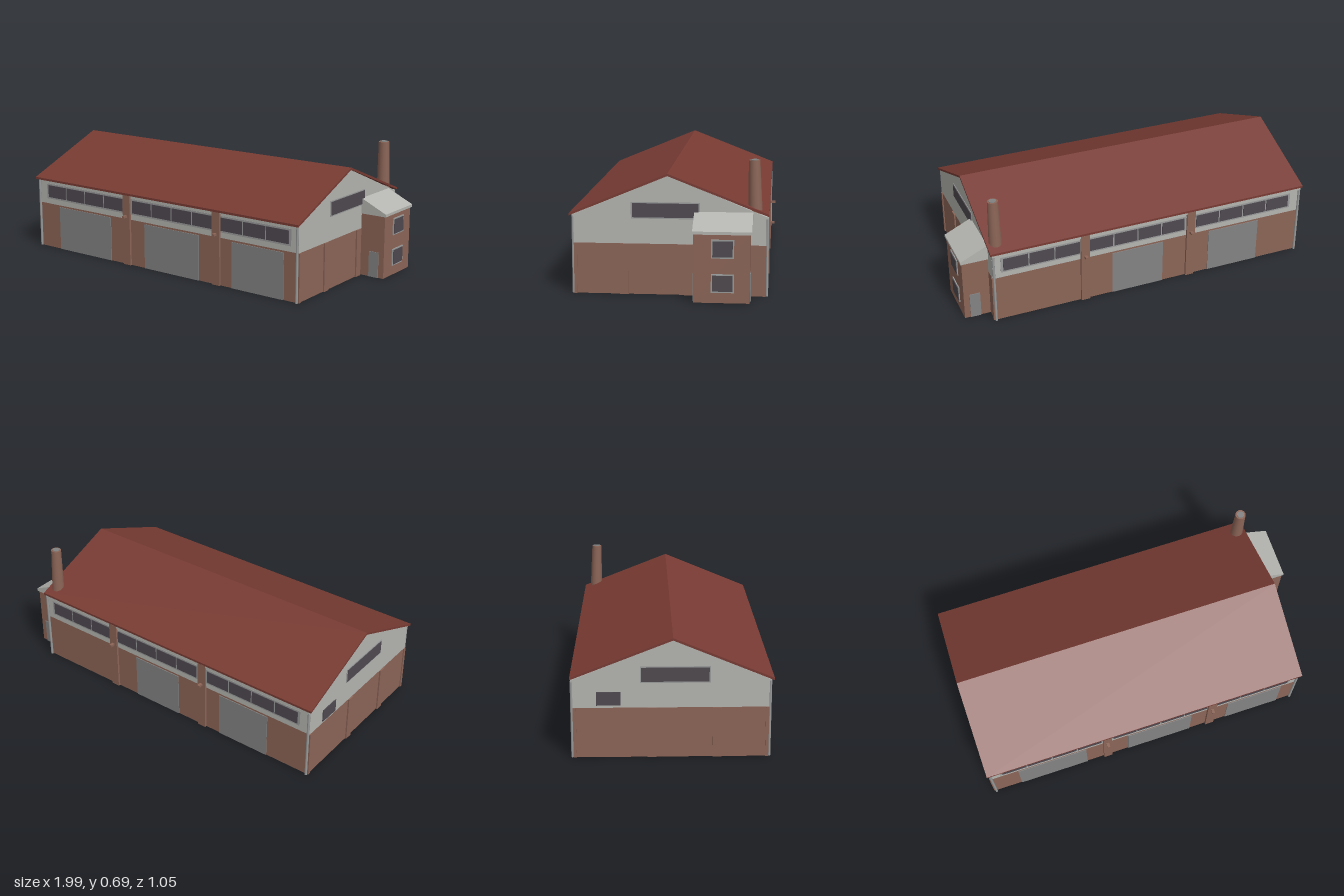
import * as THREE from 'three';

const paint = (name, color) => {
  const m = new THREE.MeshStandardMaterial({ color });
  m.name = name;
  return m;
};

export function createModel() {
  const model = new THREE.Group();
  model.name = 'warehouse';
  const brick = paint('brick', 0x8c6557);
  const cladding = paint('pale cladding', 0xb4b4b0);
  const roofRed = paint('roof red', 0x783b33);
  const doorGrey = paint('door grey', 0x838383);
  const glass = paint('dark glass', 0x4e494f);
  const trim = paint('trim grey', 0x9a9b9b);

  const add = (name, geometry, material) => {
    const mesh = new THREE.Mesh(geometry, material);
    mesh.name = name;
    model.add(mesh);
    return mesh;
  };
  // Box given by its limits on each axis
  const block = (name, material, x0, x1, y0, y1, z0, z1) => {
    const mesh = add(name, new THREE.BoxGeometry(x1 - x0, y1 - y0, z1 - z0), material);
    mesh.position.set((x0 + x1) / 2, (y0 + y1) / 2, (z0 + z1) / 2);
    return mesh;
  };
  // Profile of [z, y] points drawn out along x
  const alongX = (name, material, points, x0, x1) => {
    const shape = new THREE.Shape(points.map(([z, y]) => new THREE.Vector2(z, y)));
    const mesh = add(name, new THREE.ExtrudeGeometry(shape, { depth: x1 - x0, bevelEnabled: false }), material);
    mesh.rotation.y = -Math.PI / 2;
    mesh.position.x = x1;
    return mesh;
  };

  // Main hall
  const W = 0.487, L = -0.98, R = 0.845;
  block('brickWalls', brick, L, R, 0, 0.262, -W, W);
  alongX('upperWalls', cladding,
    [[W, 0.262], [W, 0.408], [0.01, 0.611], [-W, 0.408], [-W, 0.262]], L, R);
  alongX('roof', roofRed,
    [[0.51, 0.415], [0.01, 0.622], [-0.50, 0.422], [-0.50, 0.41], [0.01, 0.61], [0.51, 0.403]], -0.99, 0.855);

  // Long sides: ribbon windows, pilasters, brackets, eaves trim, downpipes
  const bays = [[-0.91, -0.325, 4], [-0.26, 0.305, 4], [0.355, 0.79, 3]];
  for (const s of [1, -1]) {
    const plate = (name, material, x0, x1, y0, y1, out) => {
      const a = s * (W - 0.002), b = s * (W + out);
      block(name, material, x0, x1, y0, y1, Math.min(a, b), Math.max(a, b));
    };
    for (const [x0, x1, n] of bays) {
      plate('windowFrame', trim, x0 - 0.01, x1 + 0.01, 0.292, 0.382, 0.002);
      const step = (x1 - x0) / n;
      for (let i = 0; i < n; i++)
        plate('windowPane', glass, x0 + i * step + 0.004, x0 + (i + 1) * step - 0.004, 0.302, 0.373, 0.005);
    }
    for (const x of [-0.295, 0.33]) {
      plate('pilaster', brick, x - 0.025, x + 0.025, 0, 0.408, 0.012);
      plate('pilasterBracket', brick, x - 0.008, x + 0.008, 0.274, 0.286, 0.037);
    }
    plate('eavesTrim', cladding, L, R, 0.396, 0.408, 0.01);
    for (const x of [L + 0.006, R - 0.006]) {
      const pipe = add('downpipe', new THREE.CylinderGeometry(0.007, 0.007, 0.4, 8), trim);
      pipe.position.set(x, 0.2, s * (W + 0.005));
    }
    const doors = s > 0 ? [[-0.82, -0.42], [-0.17, 0.21], [0.43, 0.755]] : [[-0.72, -0.41], [-0.13, 0.17]];
    for (const [x0, x1] of doors) plate('loadingDoor', doorGrey, x0, x1, 0, 0.252, 0.004);
  }

  // Gable ends: long window and shallow brick pilasters
  for (const [x, s] of [[R, 1], [L, -1]]) {
    const plate = (name, material, z0, z1, y0, y1, out) =>
      block(name, material, Math.min(x, x + s * out), Math.max(x, x + s * out), y0, y1, z0, z1);
    plate('gableWindowFrame', trim, -0.153, 0.195, 0.391, 0.476, 0.003);
    plate('gableWindow', glass, -0.147, 0.189, 0.398, 0.47, 0.006);
    for (const z of [0.23, -0.095]) plate('gablePilaster', brick, z - 0.022, z + 0.022, 0, 0.262, 0.008);
    for (const z of [W - 0.008, -W + 0.008]) plate('cornerPost', brick, z - 0.008, z + 0.008, 0, 0.262, 0.006);
    if (s < 0) plate('smallGableWindow', glass, -0.37, -0.25, 0.275, 0.345, 0.005);
  }

  // Side annex with a lean-to roof
  block('annexWalls', brick, R, 0.988, 0, 0.348, -0.41, -0.13);
  const lean = new THREE.Shape([[R, 0.345], [0.995, 0.345], [0.995, 0.36], [R, 0.43]]
    .map(([x, y]) => new THREE.Vector2(x, y)));
  add('annexRoof', new THREE.ExtrudeGeometry(lean, { depth: 0.295, bevelEnabled: false }), cladding)
    .position.z = -0.42;
  for (const [y0, y1] of [[0.06, 0.14], [0.233, 0.313]]) {
    block('annexWindowFrame', trim, 0.986, 0.993, y0 - 0.007, y1 + 0.007, -0.332, -0.218);
    block('annexWindow', glass, 0.988, 0.996, y0, y1, -0.325, -0.225);
  }
  block('annexFrontDoor', doorGrey, 0.898, 0.956, 0, 0.142, -0.132, -0.126);
  block('annexBackDoor', doorGrey, 0.898, 0.956, 0, 0.142, -0.414, -0.408);

  // Tapered chimney
  const chimney = add('chimney', new THREE.CylinderGeometry(0.029, 0.036, 0.29, 12), brick);
  chimney.position.set(0.805, 0.545, -0.427);
  chimney.rotation.x = 0.03;
  const flue = add('flueOpening', new THREE.CylinderGeometry(0.02, 0.02, 0.004, 12), doorGrey);
  flue.position.set(0.805, 0.691, -0.4225);
  flue.rotation.x = 0.03;

  return model;
}
